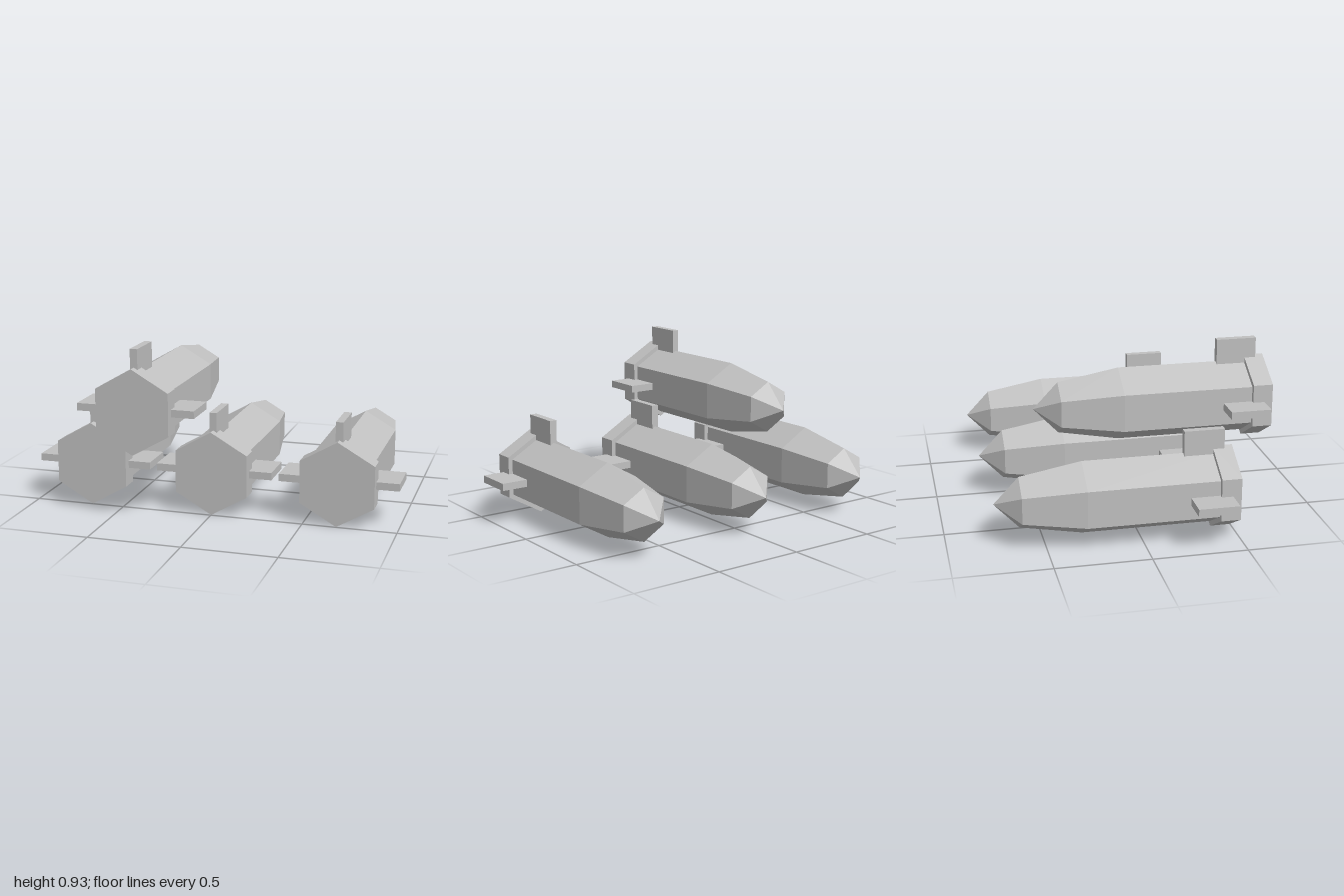
import * as THREE from 'three';

const grey = new THREE.MeshStandardMaterial({ color: 0xc0c0c0 });
grey.name = 'grey';

// Faceted shading with hard edges
function faceted(geometry) {
  const flat = geometry.toNonIndexed();
  flat.computeVertexNormals();
  return flat;
}

function part(name, geometry, x = 0, y = 0, z = 0) {
  const mesh = new THREE.Mesh(geometry, grey);
  mesh.name = name;
  mesh.position.set(x, y, z);
  return mesh;
}

// Six-sided hull along z, nose towards -z, with an edge at the top
const hullProfile = [[0.2, -0.42], [0.2, 0.3], [0.14, 0.625], [0, 0.757]]
  .map(([r, h]) => new THREE.Vector2(r, h));
const hullGeometry = faceted(new THREE.LatheGeometry(hullProfile, 6).rotateX(-Math.PI / 2));
const collarGeometry = faceted(new THREE.CylinderGeometry(0.228, 0.228, 0.105, 6).rotateX(-Math.PI / 2));
const sideFinGeometry = new THREE.BoxGeometry(0.2, 0.04, 0.215);
const topFinGeometry = new THREE.BoxGeometry(0.04, 0.2, 0.215);

function createRocket(name, x, y, z) {
  const rocket = new THREE.Group();
  rocket.name = name;
  rocket.position.set(x, y, z);
  rocket.add(part('hull', hullGeometry));
  rocket.add(part('tailCollar', collarGeometry, 0, 0, 0.4425));
  rocket.add(part('topFin', topFinGeometry, 0, 0.224, 0.3425));
  for (const side of [-1, 1]) {
    rocket.add(part(side > 0 ? 'leftFin' : 'rightFin', sideFinGeometry, side * 0.22, 0, 0.3425));
  }
  return rocket;
}

export function createModel() {
  const model = new THREE.Group();
  model.name = 'rocketStack';
  // Row of three, with one resting above and further back
  model.add(createRocket('rightRocket', -0.68, 0.228, 0));
  model.add(createRocket('middleRocket', 0, 0.228, 0));
  model.add(createRocket('leftRocket', 0.68, 0.228, 0));
  model.add(createRocket('upperRocket', -0.34, 0.603, 0.262));
  return model;
}
